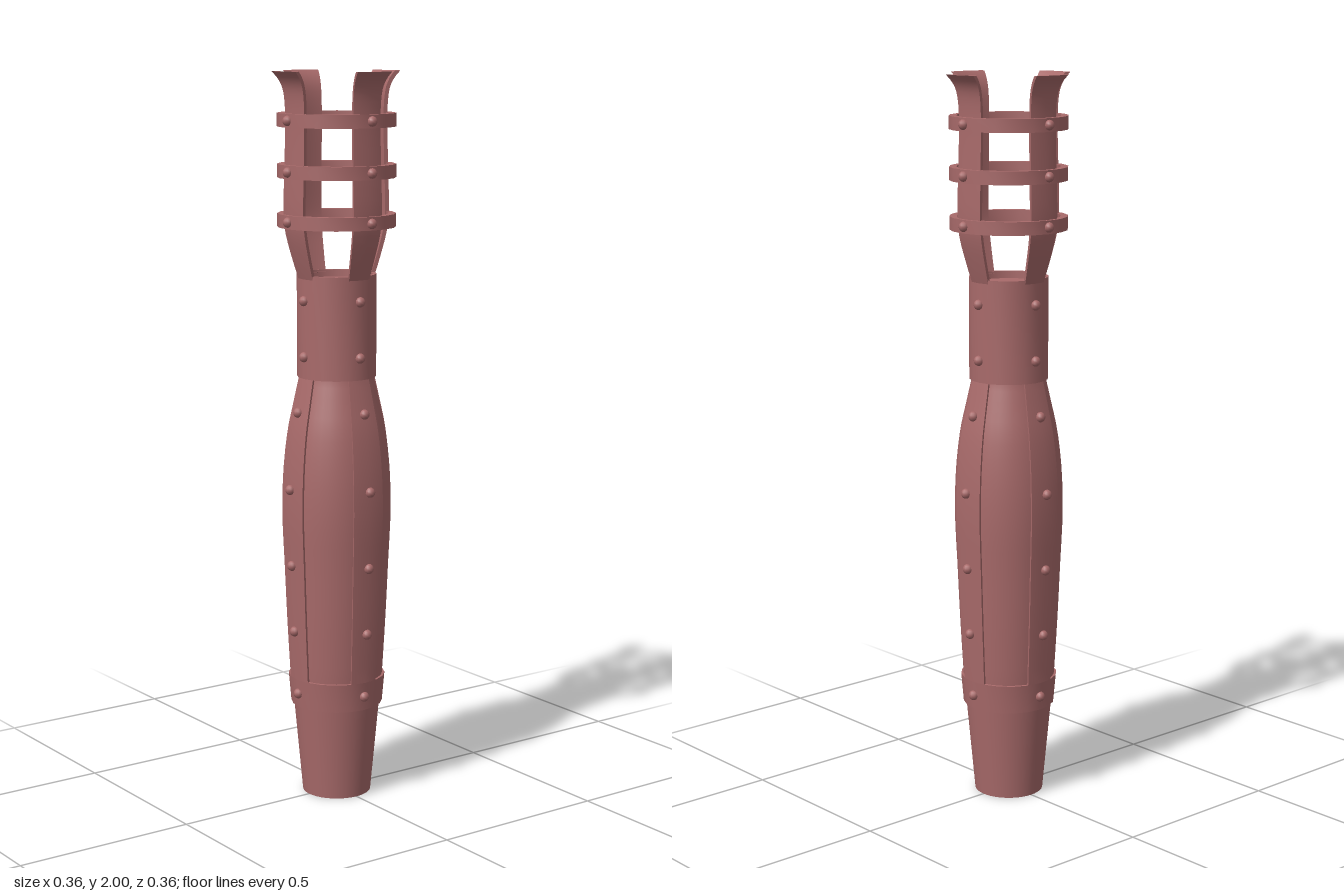
import * as THREE from 'three';
import { toCreasedNormals, mergeGeometries } from 'three/addons/utils/BufferGeometryUtils.js';

const SIDES = 20;
const STEP = (Math.PI * 2) / SIDES;
const material = new THREE.MeshStandardMaterial({ color: 0xa86a6a, side: THREE.DoubleSide });

const pts = (list) => list.map(([r, y]) => new THREE.Vector2(r, y));
const smooth = (list, n) => new THREE.SplineCurve(pts(list)).getPoints(n);

// Wall of the given thickness behind an outer profile (listed bottom to top)
function wall(outer, thickness) {
  const inner = outer.map((p, i) => {
    const a = outer[Math.max(i - 1, 0)], b = outer[Math.min(i + 1, outer.length - 1)];
    const t = b.clone().sub(a).normalize();
    return new THREE.Vector2(p.x - t.y * thickness, p.y + Math.min(t.x * thickness, 2 - p.y));
  });
  return [...outer, ...inner.reverse(), outer[0].clone()];
}

function ring(outer, thickness) {
  return toCreasedNormals(new THREE.LatheGeometry(wall(outer, thickness), SIDES), 0.6);
}

// Curved strap two sides wide, centred on +z, with closed long edges
function strap(outer, thickness) {
  const loop = wall(outer, thickness);
  const parts = [new THREE.LatheGeometry(loop, 2, -STEP, STEP * 2)];
  for (const phi of [-STEP, STEP]) {
    const edge = new THREE.ShapeGeometry(new THREE.Shape(loop));
    parts.push(edge.rotateY(phi - Math.PI / 2));
  }
  return toCreasedNormals(mergeGeometries(parts.map((g) => g.toNonIndexed())), 0.6);
}

export function createModel() {
  const group = new THREE.Group();
  const add = (name, geometry, parent = group) => {
    const mesh = new THREE.Mesh(geometry, material);
    mesh.name = name;
    parent.add(mesh);
    return mesh;
  };

  // Bulging handle core
  const bulge = [[0.134, 0.34], [0.143, 0.5], [0.15, 0.66], [0.156, 0.8],
    [0.153, 0.92], [0.141, 1.03], [0.124, 1.11], [0.108, 1.18]];
  const core = smooth(bulge, 20).map((p) => new THREE.Vector2(p.x - 0.007, p.y));
  add('handleCore', toCreasedNormals(new THREE.LatheGeometry(
    [...pts([[0, 0], [0.095, 0], [0.12, 0.27]]), ...core, ...pts([[0.099, 1.2], [0.099, 1.44], [0, 1.44]])],
    SIDES * 2), 0.6));

  // Metal band and collar
  add('lowerBand', ring(pts([[0.127, 0.26], [0.134, 0.34]]), 0.014));
  add('collar', ring(pts([[0.108, 1.18], [0.108, 1.46]]), 0.01));

  // Basket rings
  const ringHeights = [1.605, 1.737, 1.872];
  for (const y of ringHeights) add('basketRing', ring(pts([[0.16, y - 0.018], [0.16, y + 0.018]]), 0.02));

  // Straps and rivets on four sides
  const bodyStrap = strap(smooth(bulge, 20), 0.012);
  const prong = strap(smooth([[0.108, 1.45], [0.124, 1.5], [0.143, 1.57], [0.149, 1.63], [0.146, 1.75],
    [0.143, 1.87], [0.147, 1.94], [0.159, 1.975], [0.18, 2]], 24), 0.011);
  const rivet = new THREE.SphereGeometry(0.014, 10, 8);
  const rivetSpots = [[0.13, 0.3], [0.142, 0.48], [0.15, 0.667], [0.155, 0.88], [0.128, 1.09],
    [0.108, 1.24], [0.108, 1.392], ...ringHeights.map((y) => [0.159, y])];
  for (let i = 0; i < 4; i++) {
    const side = new THREE.Group();
    side.name = 'strapSide';
    side.rotation.y = (i * Math.PI) / 2;
    add('bodyStrap', bodyStrap, side);
    add('basketProng', prong, side);
    for (const [r, y] of rivetSpots) add('rivet', rivet, side).position.set(0, y, r);
    group.add(side);
  }
  return group;
}
